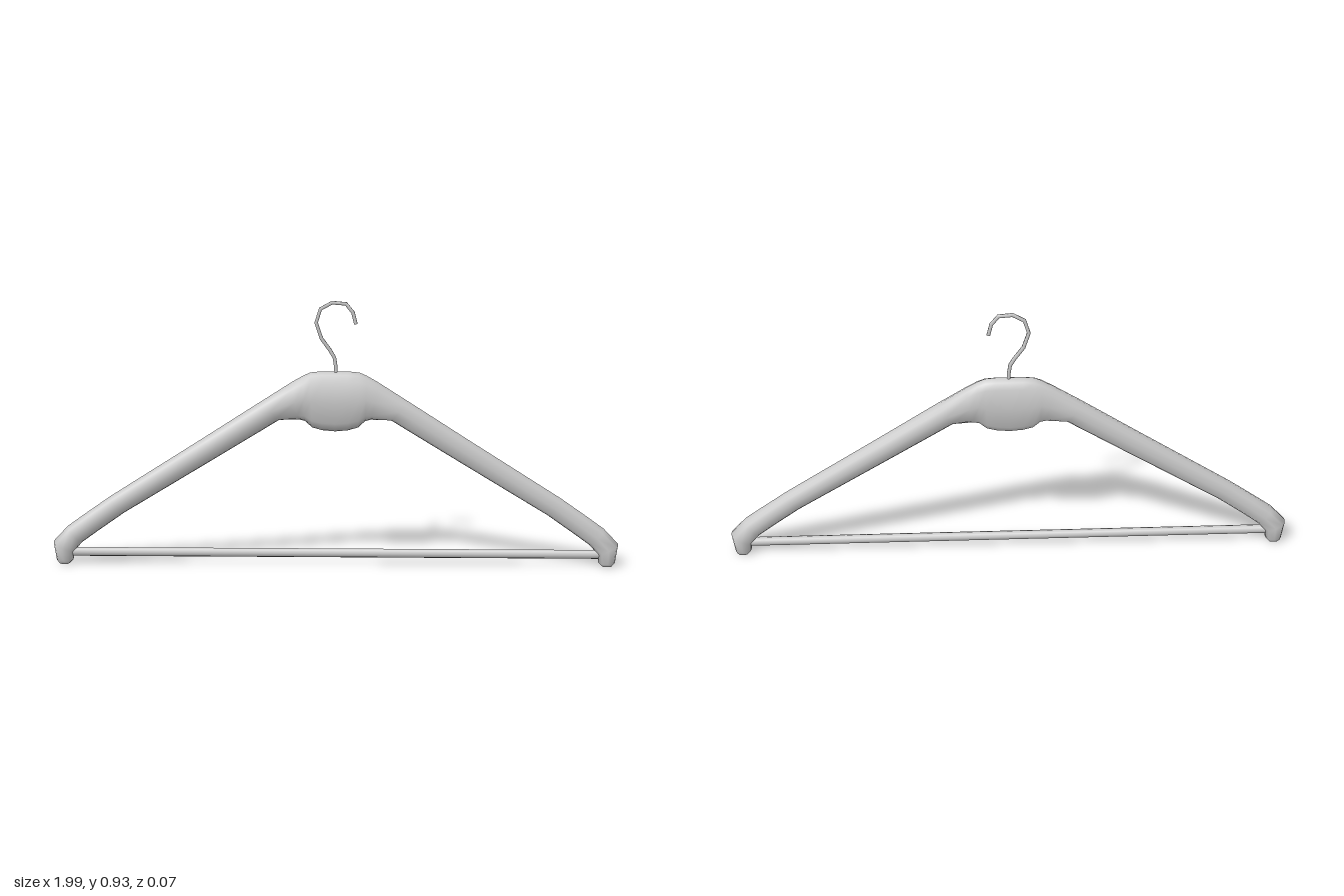
import * as THREE from 'three';
import { toCreasedNormals } from 'three/addons/utils/BufferGeometryUtils.js';

const material = new THREE.MeshStandardMaterial({ color: 0xcccccc });
const mesh = (name, geometry, mat = material) => {
  const m = new THREE.Mesh(geometry, mat);
  m.name = name;
  return m;
};

// Half of the body: upper point x, y, lower point x, y, half depth
const STATIONS = [
  [0, 0.69, 0, 0.478, 0.037],
  [0.045, 0.69, 0.045, 0.482, 0.037],
  [0.085, 0.686, 0.08, 0.492, 0.037],
  [0.11, 0.675, 0.105, 0.515, 0.037],
  [0.15, 0.652, 0.125, 0.52, 0.036],
  [0.25, 0.588, 0.195, 0.518, 0.036],
  [0.3, 0.556, 0.245, 0.487, 0.035],
  [0.46, 0.453, 0.41, 0.386, 0.033],
  [0.79, 0.243, 0.745, 0.182, 0.03],
  [0.88, 0.18, 0.84, 0.115, 0.031],
  [0.945, 0.133, 0.895, 0.075, 0.034],
  [0.997, 0.078, 0.925, 0.042, 0.036],
  [0.987, 0.014, 0.928, 0.012, 0.036],
  [0.976, 0.002, 0.938, 0.002, 0.03],
];

// Cross-section: fraction from top to bottom, fraction of half depth
const SIDE = [[0, 0], [0.05, 0.55], [0.15, 0.94], [0.5, 1], [0.85, 0.94], [0.95, 0.55]];
const RING = [...SIDE, [1, 0], ...SIDE.slice(1).reverse().map(([t, z]) => [t, -z])];

function bodyGeometry() {
  const mirrored = STATIONS.slice(1).reverse().map(([a, b, c, d, w]) => [-a, b, -c, d, w]);
  const rings = [...mirrored, ...STATIONS].map(([tx, ty, bx, by, w]) =>
    RING.map(([t, z]) => [tx + (bx - tx) * t, ty + (by - ty) * t, z * w]));
  const pos = [], n = RING.length, last = rings.length - 1;
  const tri = (...corners) => corners.forEach((p) => pos.push(...p));
  for (let i = 0; i < last; i++) {
    for (let j = 0; j < n; j++) {
      const k = (j + 1) % n;
      const a = rings[i][j], b = rings[i + 1][j], c = rings[i][k], d = rings[i + 1][k];
      tri(a, c, b);
      tri(b, c, d);
    }
  }
  // End caps
  for (let j = 1; j < n - 1; j++) {
    tri(rings[last][0], rings[last][j], rings[last][j + 1]);
    tri(rings[0][0], rings[0][j + 1], rings[0][j]);
  }
  const g = new THREE.BufferGeometry();
  g.setAttribute('position', new THREE.Float32BufferAttribute(pos, 3));
  return toCreasedNormals(g, 1.25);
}

export function createModel() {
  const group = new THREE.Group();
  group.add(mesh('body', bodyGeometry()));

  // Trouser bar between the arm ends
  const bar = mesh('bar', new THREE.CylinderGeometry(0.016, 0.016, 1.88, 8));
  bar.rotation.z = Math.PI / 2;
  bar.position.y = 0.04;
  group.add(bar);

  // Wire hook, bent exactly at its path points
  const path = [
    [0.003, 0.67], [0.003, 0.705], [-0.002, 0.738], [-0.018, 0.765], [-0.047, 0.805],
    [-0.065, 0.86], [-0.05, 0.907], [-0.01, 0.929], [0.038, 0.925], [0.062, 0.895], [0.072, 0.855],
  ].map(([x, y]) => new THREE.Vector3(x, y, 0));
  const curve = new THREE.CatmullRomCurve3(path);
  curve.getPointAt = (t, target) => curve.getPoint(t, target);
  curve.getTangentAt = (t, target) => curve.getTangent(t, target);
  const hook = new THREE.Group();
  hook.name = 'hook';
  hook.add(mesh('hookWire', new THREE.TubeGeometry(curve, path.length - 1, 0.007, 6)));

  // Flat end of the wire
  const tip = mesh('hookTip', new THREE.CircleGeometry(0.007, 6));
  tip.position.copy(path[path.length - 1]);
  tip.quaternion.setFromUnitVectors(new THREE.Vector3(0, 0, 1), curve.getTangent(1));
  hook.add(tip);
  group.add(hook);

  return group;
}
